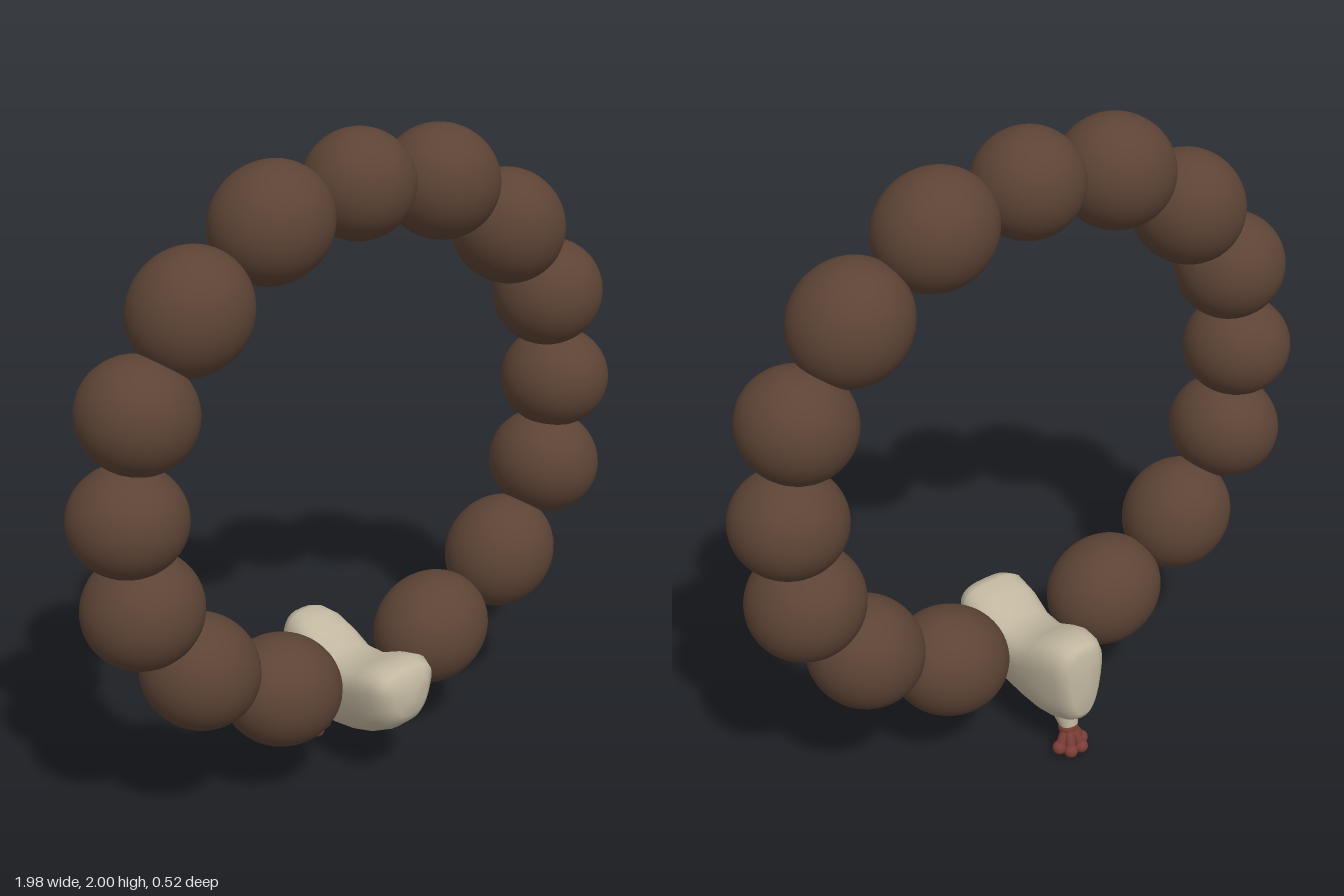
import * as THREE from 'three';

const mat = (name, color) => {
  const m = new THREE.MeshStandardMaterial({ color });
  m.name = name;
  return m;
};

export function createModel() {
  const group = new THREE.Group();
  const wood = mat('dark wood', 0x5c4335);
  const bone = mat('bone', 0xc2b8a1);
  const red = mat('dark red', 0x7a3d36);
  const BEAD_Z = 0.02;

  const add = (name, geometry, material, parent = group) => {
    const mesh = new THREE.Mesh(geometry, material);
    mesh.name = name;
    parent.add(mesh);
    return mesh;
  };

  // Ring of beads: x, y, half length along the cord, radius across it
  const beads = [
    [0, 1.842, 0.165, 0.158],
    [0.312, 1.793, 0.182, 0.167],
    [0.592, 1.606, 0.182, 0.17],
    [0.776, 1.36, 0.163, 0.169],
    [0.822, 1.07, 0.157, 0.168],
    [0.786, 0.793, 0.164, 0.174],
    [0.598, 0.535, 0.183, 0.168],
    [0.302, 0.365, 0.19, 0.169],
  ];
  const sphere = new THREE.SphereGeometry(1, 40, 28);
  const addBead = (i, side) => {
    const [x, y, along, across] = beads[i];
    const a = beads[Math.max(i - 1, 0)];
    const b = beads[i + 1] || [0, 0.3];
    const bead = add(`bead${i}${side > 0 ? 'Left' : 'Right'}`, sphere, wood);
    bead.position.set(side * x, y, BEAD_Z);
    bead.scale.set(along, across, across);
    bead.rotation.z = i === 0 ? 0 : side * Math.atan2(b[1] - a[1], b[0] - a[0]);
  };
  beads.forEach((_, i) => {
    addBead(i, 1);
    if (i > 0) addBead(i, -1);
  });

  // Cord running through the beads
  const right = beads.map(([x, y]) => new THREE.Vector3(x, y, BEAD_Z));
  const left = beads.slice(1).reverse().map(([x, y]) => new THREE.Vector3(-x, y, BEAD_Z));
  const loop = new THREE.CatmullRomCurve3([...right, new THREE.Vector3(0, 0.28, BEAD_Z), ...left], true);
  add('cord', new THREE.TubeGeometry(loop, 128, 0.02, 8, true), red);

  // Saddle-shaped pendant lofted from front to back: z, top, bottom, half width
  const sections = [
    [0.262, 0.34, 0.31, 0.02], [0.258, 0.385, 0.265, 0.075], [0.24, 0.415, 0.235, 0.11],
    [0.2, 0.428, 0.2, 0.13], [0.13, 0.41, 0.162, 0.132], [0.05, 0.375, 0.135, 0.122],
    [-0.03, 0.375, 0.12, 0.117], [-0.1, 0.41, 0.116, 0.12], [-0.16, 0.436, 0.122, 0.113],
    [-0.215, 0.44, 0.142, 0.1], [-0.245, 0.43, 0.162, 0.085], [-0.258, 0.405, 0.185, 0.062],
    [-0.262, 0.34, 0.26, 0.02],
  ];
  const N = 32;
  const pos = [];
  const index = [];
  const bulge = (v) => Math.sign(v) * Math.abs(v) ** 0.72;
  sections.forEach(([z, top, bottom, w]) => {
    for (let j = 0; j < N; j++) {
      const t = (j / N) * Math.PI * 2;
      const s = bulge(Math.sin(t));
      const taper = 0.84 + 0.2 * s; // narrower toward the bottom
      pos.push(w * bulge(Math.cos(t)) * taper, (top + bottom) / 2 + ((top - bottom) / 2) * s, z);
    }
  });
  for (let i = 0; i < sections.length - 1; i++) {
    for (let j = 0; j < N; j++) {
      const a = i * N + j, b = i * N + ((j + 1) % N);
      index.push(a, a + N, b, b, a + N, b + N);
    }
  }
  [0, sections.length - 1].forEach((row) => {
    const c = pos.length / 3;
    const [z, top, bottom] = sections[row];
    pos.push(0, (top + bottom) / 2, z);
    for (let j = 0; j < N; j++) {
      const a = row * N + j, b = row * N + ((j + 1) % N);
      index.push(...(row === 0 ? [c, a, b] : [c, b, a]));
    }
  });
  const body = new THREE.BufferGeometry();
  body.setAttribute('position', new THREE.Float32BufferAttribute(pos, 3));
  body.setIndex(index);
  body.computeVertexNormals();
  add('pendant', body, bone);

  // Small collar under the pendant
  const collar = add('collar', new THREE.CylinderGeometry(0.045, 0.028, 0.06, 20), bone);
  collar.position.set(0, 0.123, -0.172);
  collar.rotation.x = 0.35;

  // Knotted tassel: a knot with short splayed strands
  const tassel = new THREE.Group();
  tassel.name = 'tassel';
  group.add(tassel);
  const knot = add('knot', sphere, red, tassel);
  knot.position.set(0, 0.088, -0.178);
  knot.scale.set(0.032, 0.03, 0.03);
  const ends = [[-0.042, 0.03, -0.19], [0.042, 0.03, -0.19], [0, 0.022, -0.175], [-0.02, 0.024, -0.218], [0.02, 0.024, -0.218]];
  ends.forEach(([x, y, z], i) => {
    const path = new THREE.CatmullRomCurve3([
      new THREE.Vector3(0, 0.1, -0.175),
      new THREE.Vector3(x * 0.5, 0.068, (z - 0.182) / 2),
      new THREE.Vector3(x, y, z),
    ]);
    add(`strand${i}`, new THREE.TubeGeometry(path, 10, 0.016, 10), red, tassel);
    const tip = add(`strandTip${i}`, sphere, red, tassel);
    tip.position.set(x, y, z);
    tip.scale.setScalar(0.022);
  });

  return group;
}
